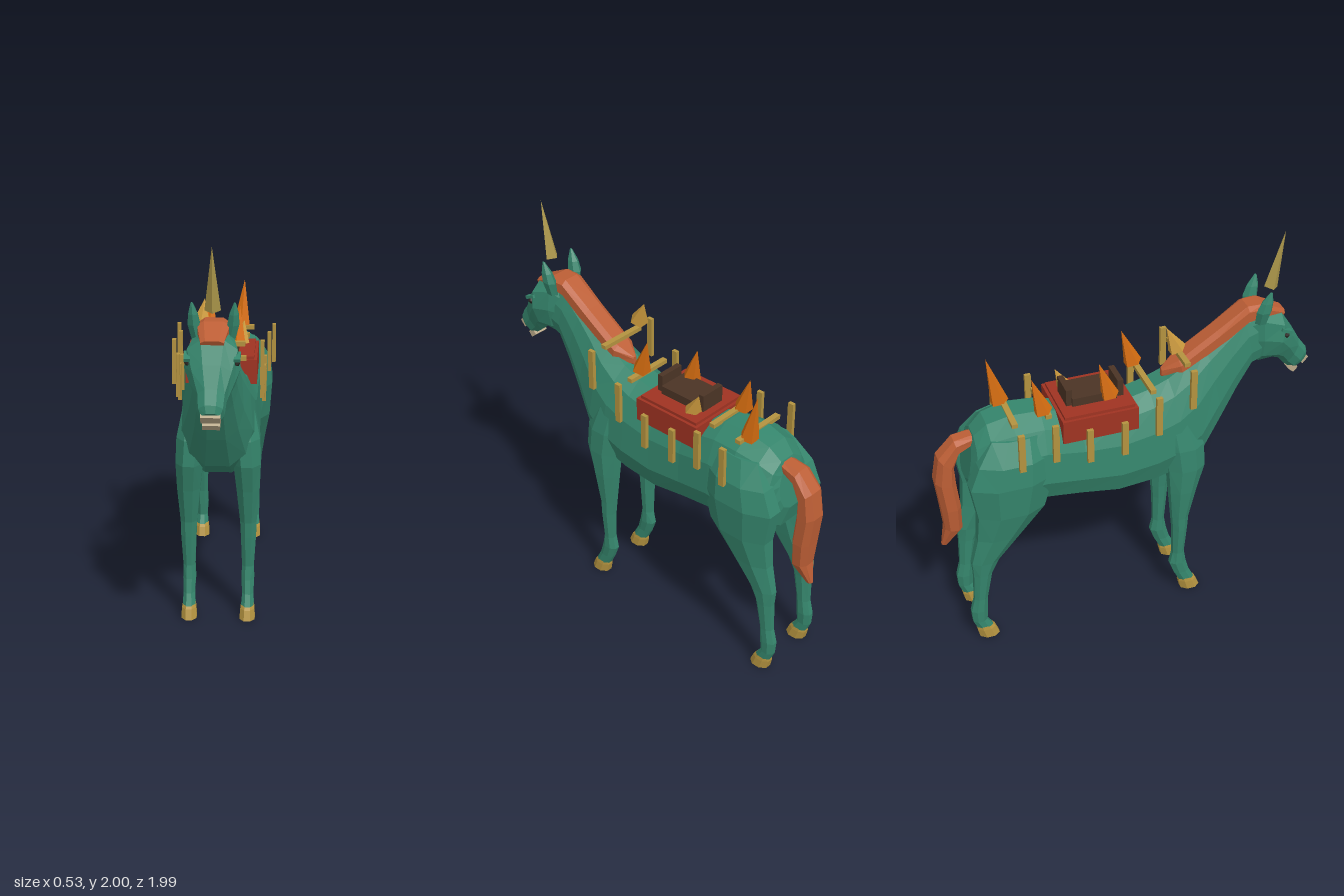
import * as THREE from 'three';

const mat = (name, color) => {
  const m = new THREE.MeshStandardMaterial({ color });
  m.name = name;
  return m;
};

// Closed faceted skin over a list of rings, always wound outwards
function loft(rings) {
  const n = rings[0].length, tris = [];
  const mid = r => r.reduce((s, p) => s.add(p), new THREE.Vector3()).divideScalar(n);
  for (let i = 0; i < rings.length - 1; i++)
    for (let j = 0; j < n; j++) {
      const k = (j + 1) % n, a = rings[i], b = rings[i + 1];
      tris.push([a[j], a[k], b[k]], [a[j], b[k], b[j]]);
    }
  const first = rings[0], last = rings[rings.length - 1], c0 = mid(first), c1 = mid(last);
  for (let j = 0; j < n; j++) {
    const k = (j + 1) % n;
    tris.push([c0, first[k], first[j]], [c1, last[j], last[k]]);
  }
  const volume = tris.reduce((v, [a, b, c]) => v + a.dot(b.clone().cross(c)), 0);
  if (volume < 0) tris.forEach(t => t.reverse());
  const g = new THREE.BufferGeometry().setFromPoints(tris.flat());
  g.computeVertexNormals();
  return g;
}

const soft = (v, e) => Math.sign(v) * Math.pow(Math.abs(v), e);

// Ring symmetric in x: [top z, top y, bottom z, bottom y, half width]
function spineRing([tz, ty, bz, by, w], n, e = 0.85, pear = 0) {
  return Array.from({ length: n }, (_, i) => {
    const a = ((i + 0.5) / n) * Math.PI * 2;
    const c = soft(Math.cos(a), e) / soft(Math.cos(Math.PI / n), e), s = soft(Math.sin(a), e);
    return new THREE.Vector3(w * s * (1 - pear * c),
      (ty + by) / 2 + c * (ty - by) / 2, (tz + bz) / 2 + c * (tz - bz) / 2);
  });
}

// Level ring: [y, back z, front z, inner x, outer x]
function legRing([y, z0, z1, x0, x1], side, n = 8) {
  return Array.from({ length: n }, (_, i) => {
    const a = ((i + 0.5) / n) * Math.PI * 2;
    return new THREE.Vector3(side * ((x0 + x1) / 2 + Math.cos(a) * 1.08 * (x1 - x0) / 2),
      y, (z0 + z1) / 2 + Math.sin(a) * 1.08 * (z1 - z0) / 2);
  });
}

export function createModel() {
  const group = new THREE.Group();
  const green = mat('green coat', 0x35856c), rust = mat('rust hair', 0xbc5e35);
  const gold = mat('gold', 0xb3923f), horn = mat('horn', 0xac974a);
  const orange = mat('orange spike', 0xd46c10), tan = mat('tan spike', 0xc9983c);
  const red = mat('red cloth', 0x9f3322), brown = mat('brown leather', 0x4b3425);
  const pale = mat('pale lip', 0xb9a888), dark = mat('dark eye', 0x2b2824);

  const add = (name, geo, material) => {
    const m = new THREE.Mesh(geo, material);
    m.name = name;
    group.add(m);
    return m;
  };
  const box = (name, material, w, h, d, x, y, z) => {
    const m = add(name, new THREE.BoxGeometry(w, h, d), material);
    m.position.set(x, y, z);
    return m;
  };
  // Faceted cone from a base centre to an apex
  const spike = (name, material, r, sides, base, apex) => {
    const from = new THREE.Vector3(...base), dir = new THREE.Vector3(...apex).sub(from);
    const len = dir.length();
    const g = new THREE.ConeGeometry(r, len, sides).toNonIndexed();
    g.translate(0, len / 2, 0);
    g.computeVertexNormals();
    const m = add(name, g, material);
    m.position.copy(from);
    m.quaternion.setFromUnitVectors(new THREE.Vector3(0, 1, 0), dir.normalize());
    return m;
  };

  // Trunk and neck
  add('body', loft([
    [-0.80, 1.16, -0.84, 0.95, 0.09], [-0.785, 1.2, -0.81, 0.84, 0.16],
    [-0.72, 1.26, -0.72, 0.78, 0.205], [-0.6, 1.29, -0.6, 0.77, 0.23],
    [-0.45, 1.28, -0.48, 0.78, 0.215], [-0.25, 1.23, -0.28, 0.745, 0.195],
    [-0.05, 1.23, -0.08, 0.71, 0.195], [0.12, 1.27, 0.12, 0.725, 0.195],
    [0.22, 1.31, 0.28, 0.76, 0.19], [0.32, 1.37, 0.39, 0.83, 0.17],
    [0.42, 1.44, 0.5, 1.0, 0.13], [0.52, 1.51, 0.59, 1.16, 0.105],
    [0.62, 1.58, 0.67, 1.29, 0.09], [0.68, 1.6, 0.72, 1.31, 0.09]
  ].map(r => spineRing(r, 12, 0.85, 0.12))), green);

  // Head, tapering to the muzzle
  add('head', loft([
    [0.64, 1.57, 0.67, 1.31, 0.07], [0.71, 1.61, 0.72, 1.3, 0.105],
    [0.82, 1.575, 0.79, 1.31, 0.128], [0.885, 1.475, 0.83, 1.29, 0.1],
    [0.94, 1.38, 0.865, 1.245, 0.068], [0.985, 1.32, 0.9, 1.215, 0.062],
    [0.995, 1.285, 0.915, 1.205, 0.048]
  ].map(r => spineRing(r, 10, 0.85, -0.1))), green);
  box('upperLip', pale, 0.09, 0.045, 0.04, 0, 1.262, 0.965).rotation.x = 0.72;
  box('lowerLip', pale, 0.08, 0.035, 0.04, 0, 1.212, 0.915).rotation.x = 0.72;

  // Mane with forelock, and tail
  add('mane', loft([
    [0.2, 1.345, 0.2, 1.3, 0.012], [0.28, 1.395, 0.3, 1.3, 0.068],
    [0.48, 1.525, 0.5, 1.43, 0.068], [0.64, 1.635, 0.64, 1.54, 0.072],
    [0.72, 1.635, 0.71, 1.56, 0.078], [0.845, 1.575, 0.82, 1.53, 0.055]
  ].map(r => spineRing(r, 8, 0.6))), rust);
  add('tail', loft([
    [-0.77, 1.195, -0.79, 1.14, 0.05], [-0.88, 1.18, -0.86, 1.1, 0.06],
    [-0.965, 1.09, -0.89, 1.02, 0.066], [-0.99, 0.95, -0.885, 0.92, 0.068],
    [-0.97, 0.78, -0.87, 0.78, 0.068], [-0.958, 0.65, -0.87, 0.64, 0.056],
    [-0.98, 0.54, -0.95, 0.535, 0.014]
  ].map(r => spineRing(r, 8, 0.75))), rust);

  // Legs, hooves, ears and eyes on both sides
  const foreLeg = [
    [1.12, 0.16, 0.32, 0.08, 0.17], [0.95, 0.17, 0.38, 0.06, 0.205], [0.82, 0.19, 0.385, 0.075, 0.21],
    [0.68, 0.2, 0.345, 0.09, 0.205], [0.5, 0.215, 0.305, 0.108, 0.19], [0.42, 0.222, 0.3, 0.112, 0.188],
    [0.26, 0.225, 0.288, 0.118, 0.178], [0.19, 0.21, 0.3, 0.115, 0.18], [0.12, 0.235, 0.32, 0.12, 0.177],
    [0.06, 0.265, 0.35, 0.115, 0.18]
  ];
  const hindLeg = [
    [1.21, -0.72, -0.46, 0.08, 0.17], [1.1, -0.8, -0.44, 0.07, 0.235], [0.98, -0.85, -0.43, 0.06, 0.25],
    [0.8, -0.82, -0.48, 0.075, 0.237], [0.65, -0.83, -0.6, 0.09, 0.212], [0.5, -0.865, -0.725, 0.108, 0.192],
    [0.42, -0.86, -0.765, 0.115, 0.186], [0.26, -0.865, -0.795, 0.118, 0.178], [0.18, -0.885, -0.8, 0.115, 0.18],
    [0.11, -0.88, -0.805, 0.12, 0.177], [0.06, -0.86, -0.775, 0.115, 0.18]
  ];
  for (const side of [1, -1]) {
    add('foreLeg', loft(foreLeg.map(r => legRing(r, side))), green);
    add('hindLeg', loft(hindLeg.map(r => legRing(r, side))), green);
    for (const [name, z] of [['foreHoof', 0.275], ['hindHoof', -0.85]])
      add(name, loft([[0, z, z + 0.105, 0.108, 0.186], [0.05, z - 0.012, z + 0.085, 0.112, 0.183],
        [0.078, z - 0.01, z + 0.06, 0.118, 0.178]].map(r => legRing(r, side))), gold);
    add('ear', loft([[1.55, 0.67, 0.73, 0.05, 0.1], [1.62, 0.67, 0.745, 0.06, 0.118],
      [1.67, 0.69, 0.75, 0.07, 0.115], [1.725, 0.73, 0.742, 0.092, 0.102]]
      .map(r => legRing(r, side, 6))), green);
    const eye = add('eye', new THREE.IcosahedronGeometry(0.02, 0), dark);
    eye.position.set(side * 0.108, 1.475, 0.828);
    const lid = box('brow', green, 0.03, 0.016, 0.06, side * 0.112, 1.5, 0.825);
    lid.rotation.x = 0.4;
  }

  // Floating horn and the row of spikes along the back
  spike('horn', horn, 0.037, 4, [0, 1.7, 0.777], [0, 2.0, 0.84]);
  [
    [tan, -0.085, 0.25, 1.5, 0.2, 1.62], [orange, 0.08, 0.08, 1.36, 0.025, 1.545],
    [orange, -0.09, -0.1, 1.31, -0.15, 1.495], [tan, 0.09, -0.27, 1.27, -0.32, 1.39],
    [orange, -0.085, -0.44, 1.29, -0.49, 1.475], [orange, 0.08, -0.615, 1.28, -0.668, 1.53]
  ].forEach(([m, x, z, y, az, ay]) => spike('backSpike', m, 0.048, 5, [x, y, z], [x + 0.015, ay, az]));

  // Harness bars: [z, bottom y, top y, x, half length of crossbar]
  [
    [0.292, 1.22, 1.44, 0.213, 0.13], [0.115, 1.1, 1.32, 0.21, 0.13], [-0.065, 1.03, 1.22, 0.215, 0],
    [-0.245, 1.03, 1.22, 0.215, 0], [-0.425, 1.09, 1.3, 0.235, 0.13], [-0.602, 1.09, 1.3, 0.257, 0.15]
  ].forEach(([z, y0, y1, x, half]) => {
    for (const side of [1, -1]) box('sideBar', gold, 0.02, y1 - y0, 0.032, side * x, (y0 + y1) / 2, z);
    if (half) box('crossBar', gold, half * 2, 0.022, 0.03, 0, y1 - 0.018, z);
  });

  // Saddle
  box('saddleCloth', red, 0.36, 0.125, 0.39, 0, 1.203, -0.175);
  box('saddlePad', red, 0.33, 0.02, 0.36, 0, 1.271, -0.175);
  box('seat', brown, 0.17, 0.06, 0.23, 0, 1.295, -0.175);
  box('pommel', brown, 0.14, 0.11, 0.03, 0, 1.315, -0.037);
  box('cantle', brown, 0.14, 0.11, 0.03, 0, 1.315, -0.303);
  return group;
}
